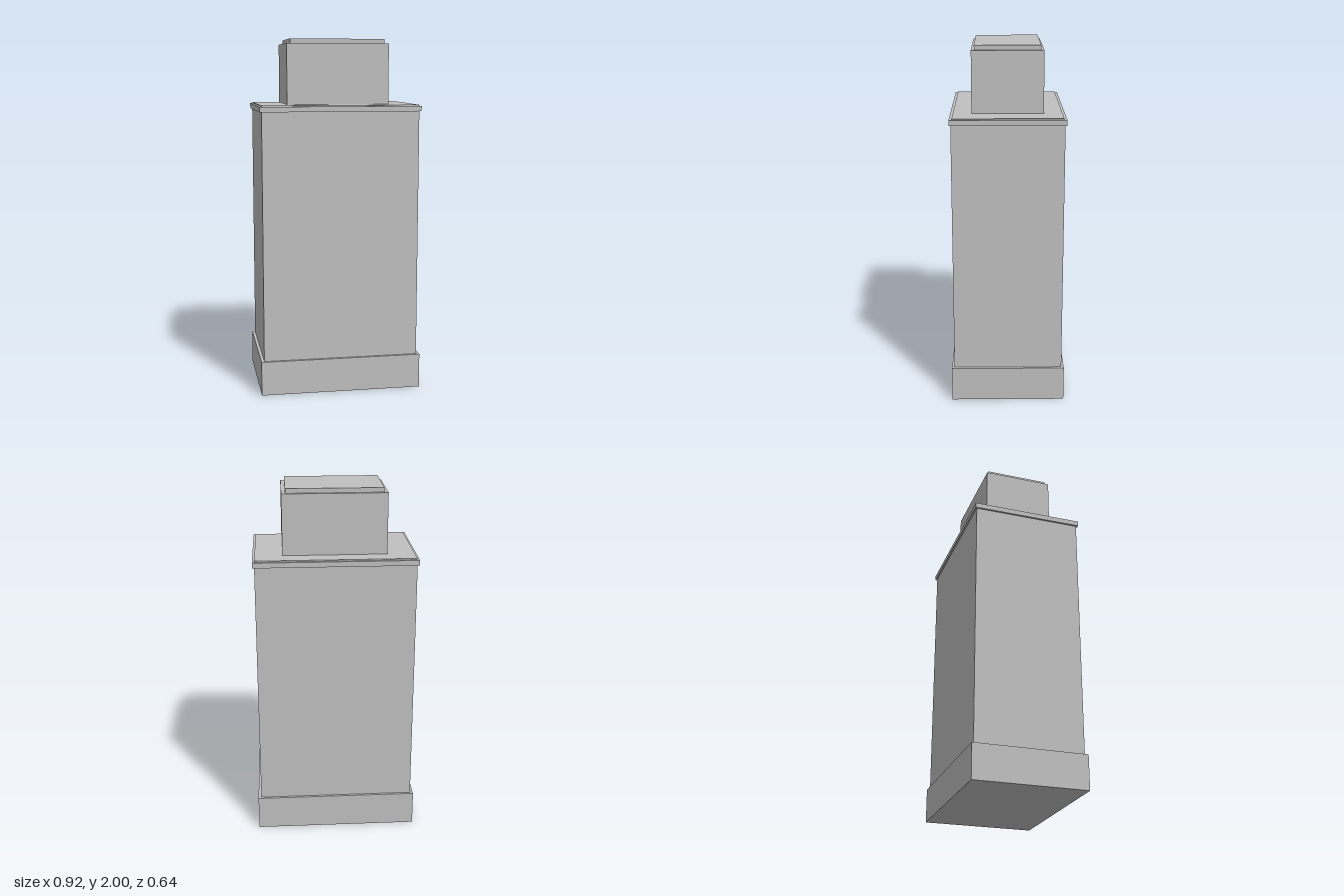
import * as THREE from 'three';

const stone = new THREE.MeshStandardMaterial({ color: 0xc0c0c0 });
stone.name = 'grey stone';

// Each tier: name, half width, half depth, bottom, top
const tiers = [
  ['basePlinth', 0.459, 0.319, 0, 0.195],
  ['towerBody', 0.442, 0.305, 0.195, 1.6],
  ['corniceSlab', 0.453, 0.314, 1.6, 1.629],
  ['roofDeck', 0.441, 0.298, 1.629, 1.636],
  ['penthouse', 0.289, 0.197, 1.636, 1.975],
  ['penthouseCap', 0.268, 0.181, 1.975, 2],
];

export function createModel() {
  const tower = new THREE.Group();
  tower.name = 'steppedTower';
  for (const [name, halfWidth, halfDepth, bottom, top] of tiers) {
    const tier = new THREE.Mesh(
      new THREE.BoxGeometry(halfWidth * 2, top - bottom, halfDepth * 2), stone);
    tier.name = name;
    tier.position.y = (bottom + top) / 2;
    tower.add(tier);
  }
  return tower;
}
